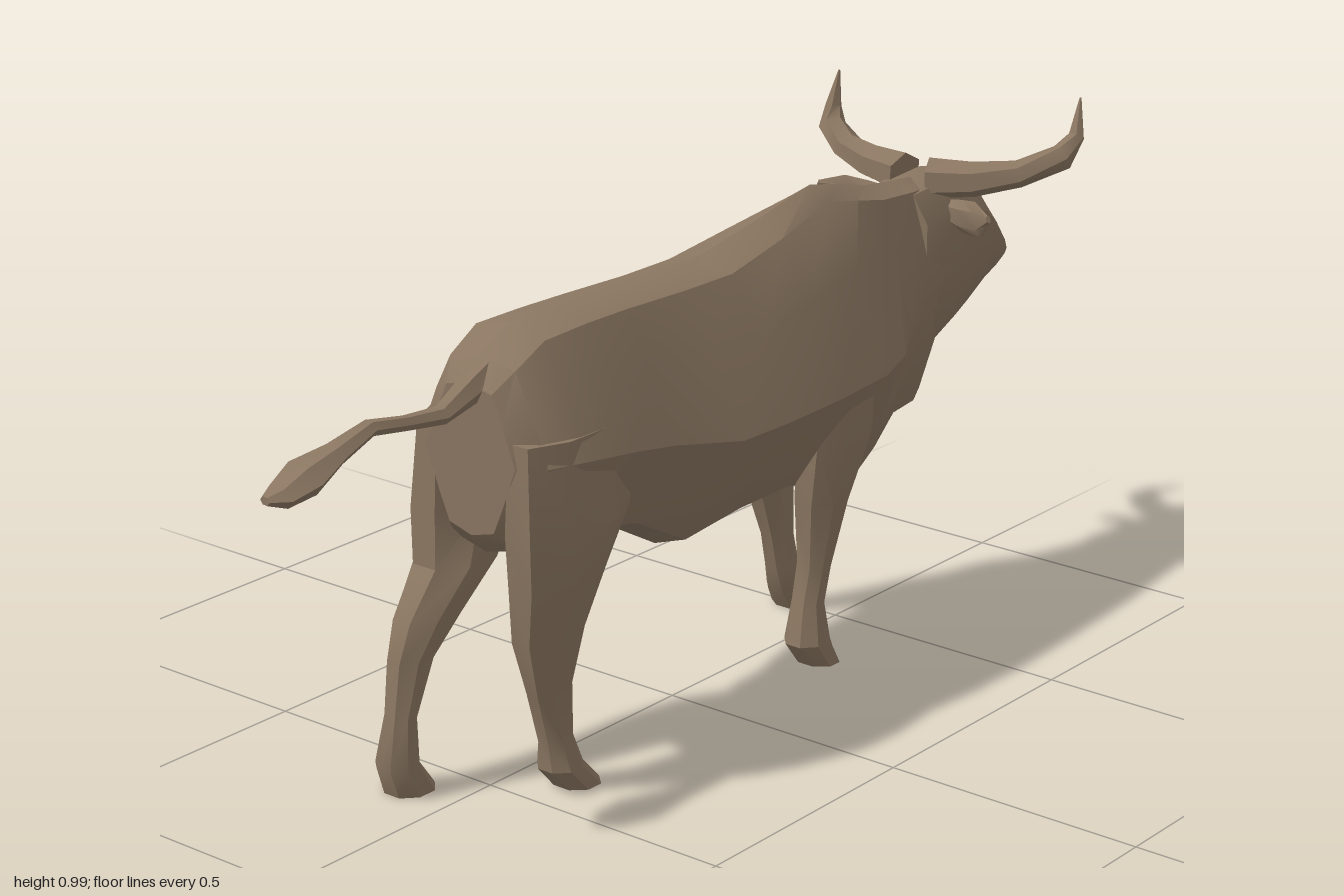
import * as THREE from 'three';
import { toCreasedNormals } from 'three/addons/utils/BufferGeometryUtils.js';

const V = (x, y, z) => new THREE.Vector3(x, y, z);

// Skin a list of equal-length rings, cap both ends, and face everything outward.
function loft(rings) {
  const n = rings[0].length;
  const pts = rings.flat();
  const tris = [];
  for (let r = 0; r < rings.length - 1; r++) {
    for (let k = 0; k < n; k++) {
      const a = r * n + k, b = r * n + (k + 1) % n;
      tris.push([a, b, a + n], [b, b + n, a + n]);
    }
  }
  for (const r of [0, rings.length - 1]) {
    const centre = V(0, 0, 0);
    rings[r].forEach((p) => centre.addScaledVector(p, 1 / n));
    const c = pts.push(centre) - 1;
    for (let k = 0; k < n; k++) {
      const a = r * n + k, b = r * n + (k + 1) % n;
      tris.push(r === 0 ? [c, b, a] : [c, a, b]);
    }
  }
  // signed volume tells whether the winding must be reversed
  let volume = 0;
  for (const [a, b, c] of tris) volume += pts[a].dot(pts[b].clone().cross(pts[c]));
  if (volume < 0) tris.forEach((t) => t.reverse());
  const geo = new THREE.BufferGeometry().setFromPoints(pts);
  geo.setIndex(tris.flat());
  return toCreasedNormals(geo, 0.6);
}

// Upright trunk section, symmetric in z: x, top, bottom, half width,
// height of the widest point, fullness of the back and of the belly.
function trunkRing([x, top, bottom, w, mid, tw, bw]) {
  const up = top - mid, down = mid - bottom;
  const half = [
    [tw * w, top - 0.08 * up],
    [w * (0.5 + 0.45 * tw), mid + 0.55 * up],
    [w, mid],
    [w * (0.5 + 0.42 * bw), mid - 0.55 * down],
    [bw * w, bottom + 0.1 * down],
  ];
  return [
    V(x, top, 0),
    ...half.map(([z, y]) => V(x, y, z)),
    V(x, bottom, 0),
    ...half.reverse().map(([z, y]) => V(x, y, -z)),
  ];
}

// Slanted head section: forehead point, jaw point, half width.
function headRing([tx, ty, bx, by, w]) {
  const half = [[0.6, 0.03], [1, 0.2], [0.95, 0.55], [0.7, 0.85], [0.4, 0.98]];
  const at = (f, z) => V(tx + (bx - tx) * f, ty + (by - ty) * f, z * w);
  return [
    at(0, 0), ...half.map(([z, f]) => at(f, z)),
    at(1, 0), ...half.reverse().map(([z, f]) => at(f, -z)),
  ];
}

// Level leg section: height, rear x, front x, inner z, outer z.
function legRing([y, x0, x1, z0, z1], side) {
  const s = 0.5 / Math.cos(Math.PI / 8);
  return Array.from({ length: 8 }, (_, k) => {
    const a = (k + 0.5) * Math.PI / 4;
    return V((x0 + x1) / 2 + (x1 - x0) * s * Math.cos(a), y,
      side * ((z0 + z1) / 2 + (z1 - z0) * s * Math.sin(a)));
  });
}

// Tapered limb along a path of [x, y, z, radius across, radius along ref].
function limb(path, ref, sides = 6) {
  const p = path.map(([x, y, z]) => V(x, y, z));
  return loft(path.map(([, , , ra, rb], i) => {
    const t = p[Math.min(i + 1, p.length - 1)].clone().sub(p[Math.max(i - 1, 0)]).normalize();
    const across = t.clone().cross(ref).normalize();
    const along = across.clone().cross(t);
    return Array.from({ length: sides }, (_, k) => {
      const a = k / sides * Math.PI * 2;
      return p[i].clone().addScaledVector(across, ra * Math.cos(a)).addScaledVector(along, rb * Math.sin(a));
    });
  }));
}

export function createModel() {
  const group = new THREE.Group();
  group.name = 'bull';
  const hide = new THREE.MeshStandardMaterial({ color: 0x8a7661 });
  hide.name = 'brown hide';
  const add = (name, geo) => {
    const mesh = new THREE.Mesh(geo, hide);
    mesh.name = name;
    group.add(mesh);
  };

  // trunk from rump to dewlap
  add('body', loft([
    [-0.535, 0.75, 0.48, 0.1, 0.62, 0.5, 0.5],
    [-0.5, 0.79, 0.44, 0.145, 0.62, 0.5, 0.5],
    [-0.43, 0.83, 0.42, 0.17, 0.62, 0.45, 0.5],
    [-0.32, 0.833, 0.43, 0.182, 0.61, 0.4, 0.5],
    [-0.21, 0.833, 0.41, 0.177, 0.59, 0.4, 0.5],
    [-0.05, 0.83, 0.32, 0.202, 0.56, 0.35, 0.35],
    [0.08, 0.83, 0.35, 0.206, 0.56, 0.35, 0.45],
    [0.24, 0.858, 0.35, 0.2, 0.56, 0.3, 0.45],
    [0.4, 0.89, 0.3, 0.184, 0.56, 0.22, 0.35],
    [0.49, 0.872, 0.28, 0.16, 0.57, 0.28, 0.3],
    [0.57, 0.852, 0.31, 0.115, 0.6, 0.4, 0.3],
    [0.66, 0.842, 0.37, 0.092, 0.65, 0.5, 0.25],
    [0.745, 0.835, 0.38, 0.08, 0.67, 0.5, 0.16],
    [0.79, 0.8, 0.48, 0.06, 0.66, 0.5, 0.16],
  ].map(trunkRing)));

  // head with a tapering muzzle
  add('head', loft([
    [0.66, 0.83, 0.68, 0.52, 0.08],
    [0.78, 0.845, 0.75, 0.5, 0.09],
    [0.86, 0.81, 0.83, 0.535, 0.086],
    [0.92, 0.75, 0.91, 0.575, 0.066],
    [0.975, 0.68, 0.965, 0.598, 0.05],
    [1.0, 0.645, 0.99, 0.615, 0.038],
  ].map(headRing)));

  // legs in a walking stance
  const legs = {
    rightHindLeg: [1, [
      [0.66, -0.53, -0.28, 0.05, 0.155], [0.5, -0.54, -0.28, 0.04, 0.175],
      [0.4, -0.53, -0.335, 0.04, 0.165], [0.3, -0.525, -0.38, 0.05, 0.145],
      [0.2, -0.5, -0.41, 0.07, 0.13], [0.1, -0.47, -0.405, 0.07, 0.125],
      [0.05, -0.47, -0.39, 0.062, 0.14], [0.005, -0.43, -0.35, 0.06, 0.145]]],
    leftHindLeg: [-1, [
      [0.66, -0.53, -0.3, 0.05, 0.155], [0.5, -0.54, -0.3, 0.04, 0.175],
      [0.4, -0.545, -0.38, 0.04, 0.165], [0.32, -0.61, -0.47, 0.05, 0.145],
      [0.25, -0.63, -0.54, 0.065, 0.135], [0.15, -0.645, -0.59, 0.07, 0.125],
      [0.06, -0.66, -0.59, 0.062, 0.14], [0.005, -0.64, -0.55, 0.06, 0.145]]],
    rightFrontLeg: [1, [
      [0.6, 0.25, 0.45, 0.06, 0.165], [0.45, 0.25, 0.42, 0.06, 0.17],
      [0.33, 0.25, 0.36, 0.062, 0.152], [0.2, 0.265, 0.325, 0.07, 0.13],
      [0.13, 0.25, 0.31, 0.07, 0.127], [0.055, 0.23, 0.32, 0.062, 0.142],
      [0.005, 0.27, 0.34, 0.06, 0.145]]],
    leftFrontLeg: [-1, [
      [0.56, 0.3, 0.5, 0.06, 0.16], [0.42, 0.32, 0.48, 0.06, 0.165],
      [0.3, 0.365, 0.47, 0.06, 0.15], [0.17, 0.41, 0.475, 0.07, 0.13],
      [0.1, 0.425, 0.49, 0.068, 0.13], [0.05, 0.44, 0.53, 0.06, 0.142],
      [0.005, 0.47, 0.535, 0.058, 0.147]]],
  };
  for (const [name, [side, rows]] of Object.entries(legs)) {
    add(name, loft(rows.map((row) => legRing(row, side))));
  }

  // horns, with the head turned slightly so the two differ in reach
  for (const [name, side, reach] of [['rightHorn', 1, 1], ['leftHorn', -1, 0.4]]) {
    const x = (f) => 0.74 + f * reach;
    add(name, limb([
      [x(0), 0.835, side * 0.03, 0.04, 0.045],
      [x(0.03), 0.84, side * 0.11, 0.034, 0.04],
      [x(0.07), 0.855, side * 0.185, 0.026, 0.034],
      [x(0.13), 0.885, side * 0.242, 0.026, 0.028],
      [x(0.165), 0.92, side * 0.25, 0.016, 0.018],
      [x(0.185), 0.99, side * 0.243, 0.002, 0.002],
    ], V(1, 0, 0)));
    // flat ears swept behind the horns
    add(side > 0 ? 'rightEar' : 'leftEar', limb([
      [0.755, 0.775, side * 0.06, 0.02, 0.012],
      [0.735, 0.775, side * 0.11, 0.032, 0.016],
      [0.715, 0.78, side * 0.16, 0.036, 0.012],
      [0.69, 0.795, side * 0.2, 0.008, 0.005],
    ], V(1, 0, 0)));
  }

  // raised tail with a tuft
  add('tail', limb([
    [-0.42, 0.79, 0, 0.03, 0.03],
    [-0.53, 0.745, 0.005, 0.026, 0.028],
    [-0.61, 0.715, 0.005, 0.02, 0.016],
    [-0.69, 0.722, 0, 0.015, 0.013],
    [-0.77, 0.735, -0.003, 0.018, 0.014],
    [-0.85, 0.712, -0.005, 0.028, 0.018],
    [-0.92, 0.69, -0.008, 0.047, 0.03],
    [-0.97, 0.672, -0.012, 0.034, 0.02],
    [-0.998, 0.672, -0.015, 0.012, 0.008],
  ], V(0, 1, 0)));

  return group;
}
